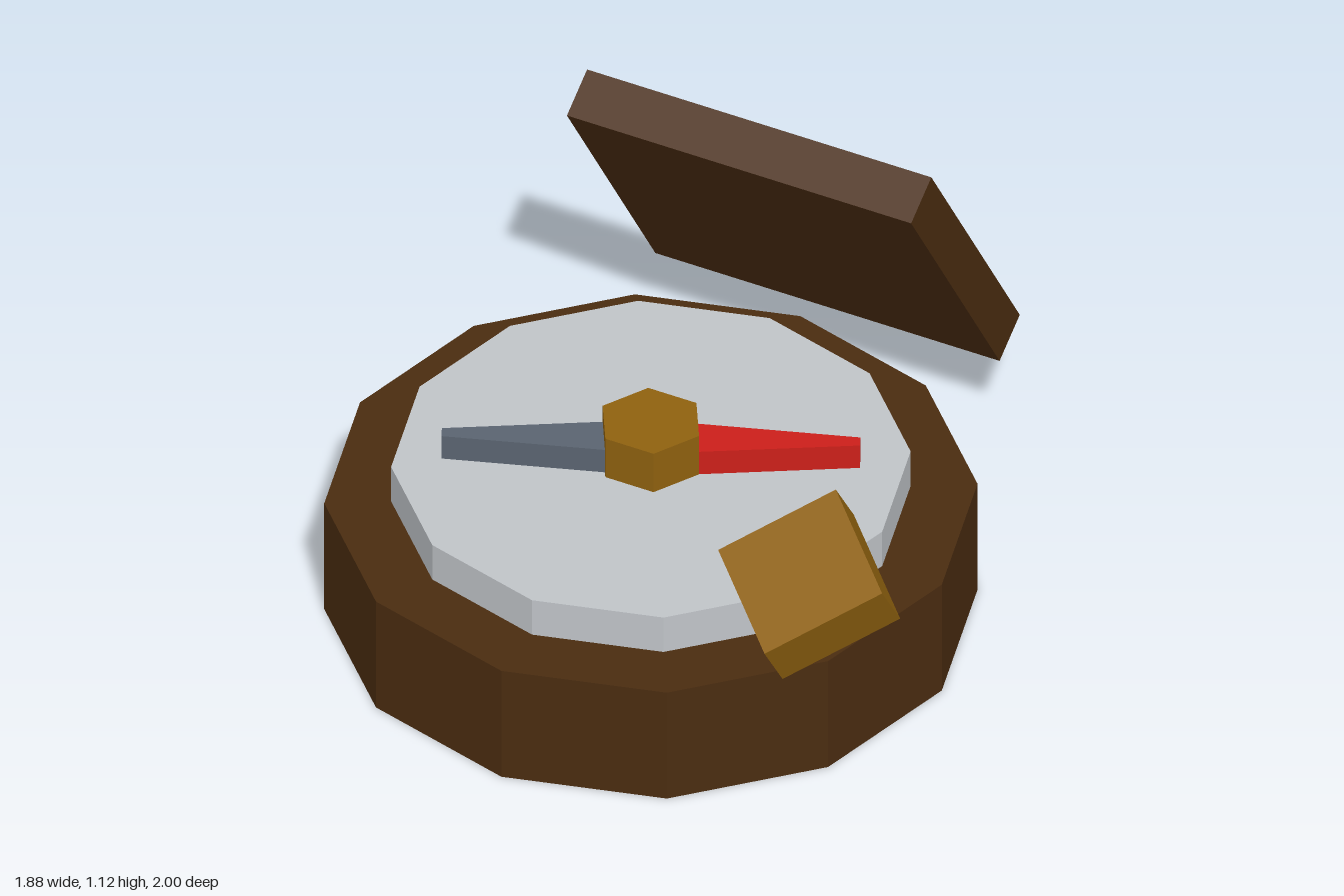
import * as THREE from 'three';

const material = (color) => new THREE.MeshStandardMaterial({ color, flatShading: true });
const wood = material(0x4a2c10);
const brass = material(0x8f610f);
const silver = material(0xc0c4c8);
const steel = material(0x5a6470);
const red = material(0xcc1f1a);

function add(parent, name, geometry, mat, x = 0, y = 0, z = 0) {
  const mesh = new THREE.Mesh(geometry, mat);
  mesh.name = name;
  mesh.position.set(x, y, z);
  parent.add(mesh);
  return mesh;
}

// Faceted disc standing on y = bottom
function disc(parent, name, radius, bottom, top, sides, mat) {
  const geometry = new THREE.CylinderGeometry(radius, radius, top - bottom, sides);
  return add(parent, name, geometry, mat, 0, (bottom + top) / 2, 0);
}

// Tapered needle half pointing along +x
function needleGeometry() {
  const shape = new THREE.Shape([[0, -0.072], [0.541, -0.017], [0.541, 0.017], [0, 0.072]]
    .map(([x, y]) => new THREE.Vector2(x, y)));
  return new THREE.ExtrudeGeometry(shape, { depth: 0.075, bevelEnabled: false }).rotateX(-Math.PI / 2);
}

export function createModel() {
  const model = new THREE.Group();
  model.name = 'compass';

  // Round case, dial, needle and hub share one axis
  const body = new THREE.Group();
  body.name = 'body';
  body.position.set(-0.095, 0, 0.123);
  model.add(body);
  disc(body, 'case', 0.845, 0, 0.345, 12, wood);
  disc(body, 'dial', 0.672, 0.34, 0.457, 12, silver);
  const needleAngle = 0.438;
  add(body, 'northNeedle', needleGeometry(), red, 0, 0.455, 0).rotation.y = needleAngle;
  add(body, 'southNeedle', needleGeometry(), steel, 0, 0.455, 0).rotation.y = needleAngle + Math.PI;
  disc(body, 'hub', 0.14, 0.45, 0.582, 6, brass).rotation.y = Math.PI / 6;

  // Open lid leaning over the back
  add(model, 'lid', new THREE.BoxGeometry(1, 0.935, 0.135), wood, -0.1, 0.693, -0.692).rotation.x = 0.564;

  // Tilted clasp block floating at the front corner
  const clasp = add(model, 'clasp', new THREE.BoxGeometry(0.343, 0.153, 0.343), brass, 0.688, 0.755, 0.752);
  const xAxis = new THREE.Vector3(0.245, -0.105, 0.215).normalize();
  const zAxis = new THREE.Vector3().crossVectors(xAxis, new THREE.Vector3(-0.01, 0.13, 0.08)).normalize();
  const yAxis = new THREE.Vector3().crossVectors(zAxis, xAxis);
  clasp.quaternion.setFromRotationMatrix(new THREE.Matrix4().makeBasis(xAxis, yAxis, zAxis));

  return model;
}
